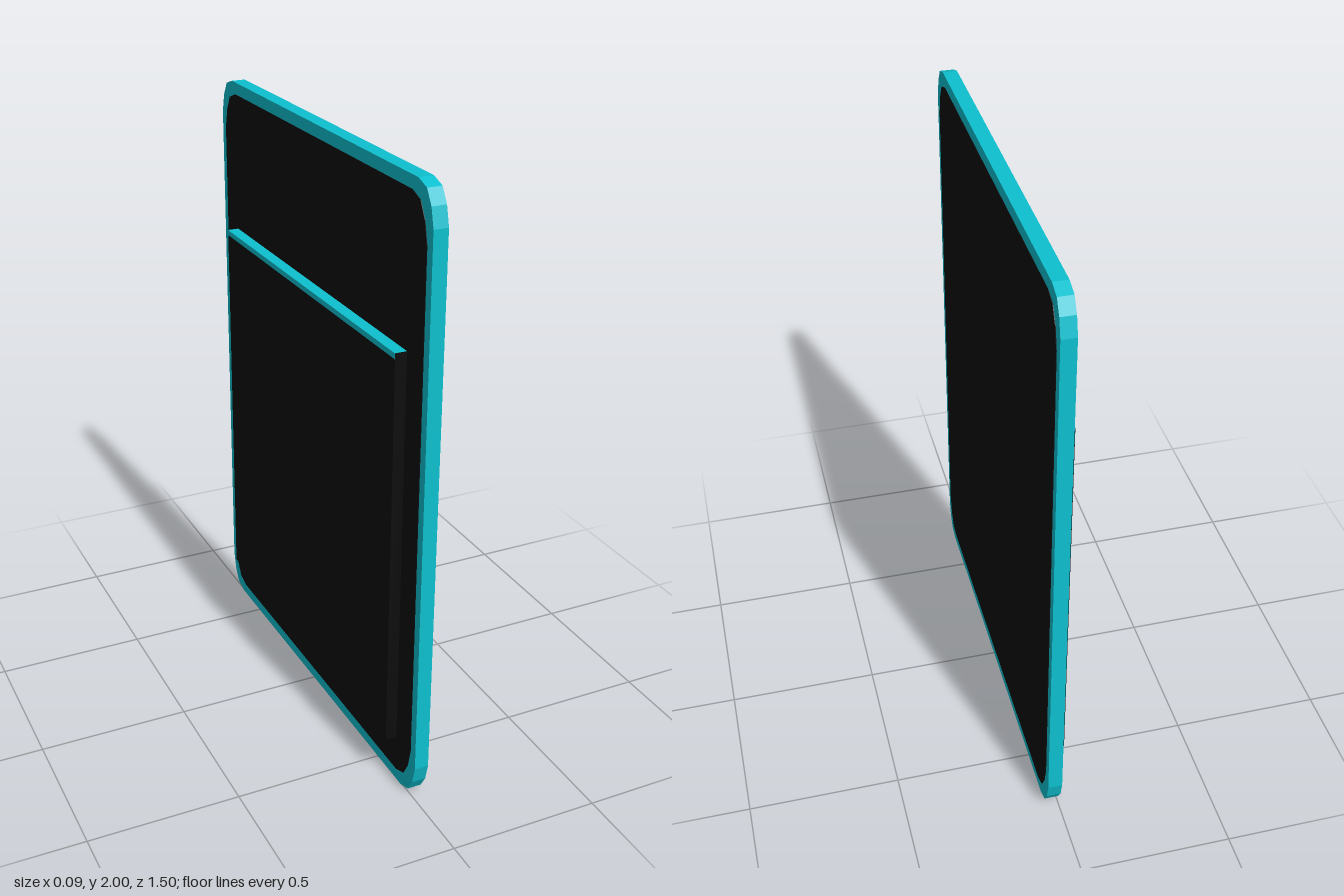
import * as THREE from 'three';

const teal = new THREE.MeshStandardMaterial({ color: 0x0dc0cf });
teal.name = 'teal trim';
const black = new THREE.MeshStandardMaterial({ color: 0x0d0d0d });
black.name = 'black cover';

// Rectangle with faceted corners, centred on the origin
function roundedOutline(halfW, halfH, corner) {
  const q = corner.map(([dx, dy]) => [halfW - dx, halfH - dy]);
  const r = [...q].reverse();
  const pts = [
    ...q,
    ...r.map(([x, y]) => [-x, y]),
    ...q.map(([x, y]) => [-x, -y]),
    ...r.map(([x, y]) => [x, -y]),
  ];
  return new THREE.Shape(pts.map(([x, y]) => new THREE.Vector2(x, y)));
}

// Slab with its thickness running along x from x0 to x1
function slab(name, shape, x0, x1, material) {
  const geo = new THREE.ExtrudeGeometry(shape, { depth: x1 - x0, bevelEnabled: false });
  geo.rotateY(Math.PI / 2);
  const mesh = new THREE.Mesh(geo, material);
  mesh.position.set(x0, 1, 0);
  mesh.name = name;
  return mesh;
}

export function createModel() {
  const group = new THREE.Group();
  group.name = 'sleeve';

  // Board with a teal edge and a black panel on each face
  const corner = [[0, 0.12], [0.015, 0.06], [0.042, 0.016], [0.09, 0]];
  const board = roundedOutline(0.75, 1, corner);
  const panel = roundedOutline(0.72, 0.96, corner.map(([x, y]) => [x, y * 1.1]));
  group.add(slab('board', board, -0.004, 0.043, teal));
  group.add(slab('rightPanel', panel, 0.043, 0.045, black));
  group.add(slab('leftPanel', panel, -0.006, -0.004, black));

  // Pocket: black box with a teal top
  const pocketGeo = new THREE.BoxGeometry(0.038, 1.325, 1.255);
  const pocket = new THREE.Mesh(pocketGeo, [black, black, teal, black, black, black]);
  pocket.position.set(-0.025, 0.8275, 0);
  pocket.name = 'pocket';
  group.add(pocket);

  // Teal binding along the pocket's upper edge
  const binding = new THREE.Mesh(new THREE.BoxGeometry(0.001, 0.018, 1.255), teal);
  binding.position.set(-0.0445, 1.481, 0);
  binding.name = 'pocketBinding';
  group.add(binding);

  return group;
}
